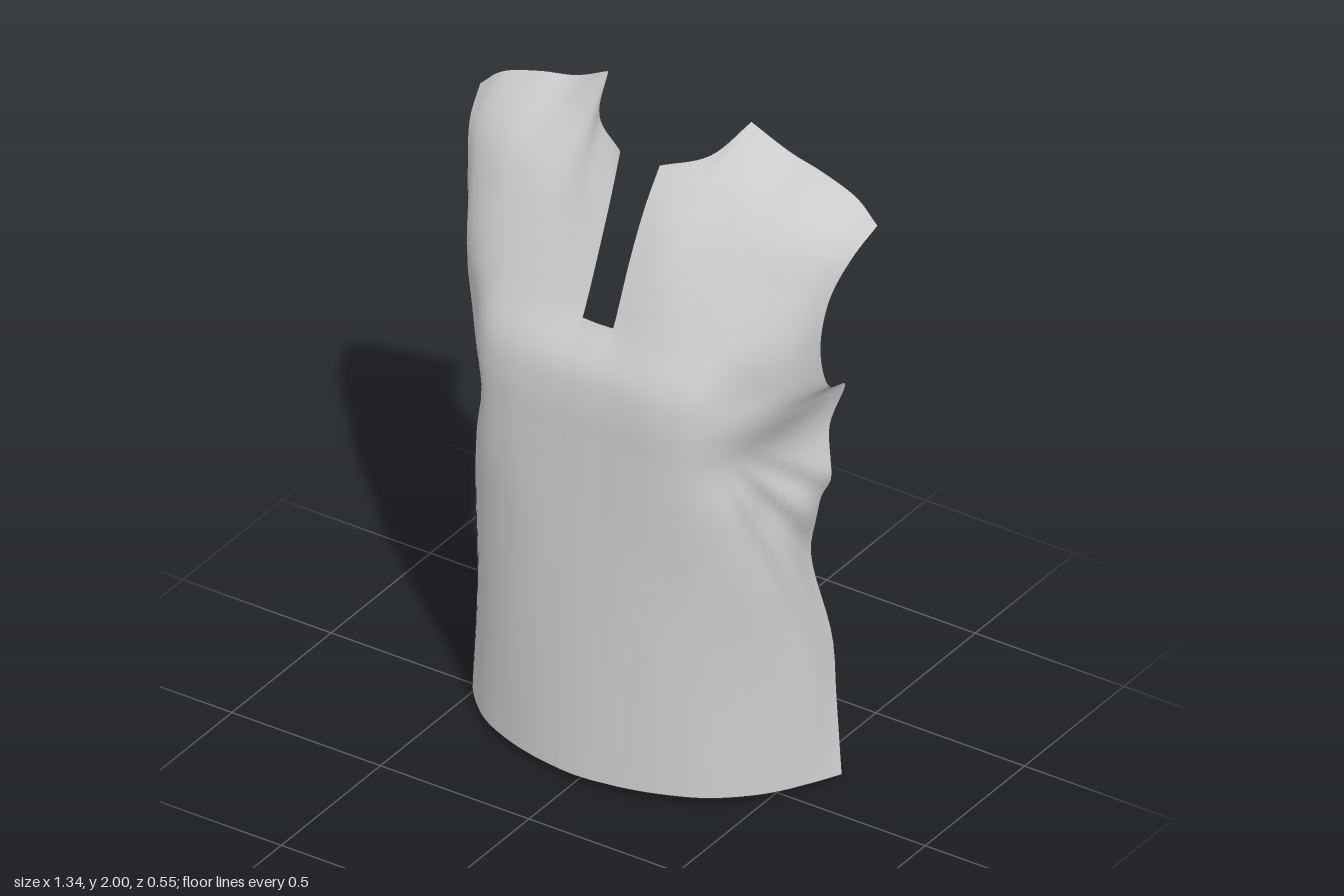
import * as THREE from 'three';

const SUB = 8;   // steps between neighbouring guide rows
const COLS = 48; // steps from the centre slit to the side edge
const NECK = 2;  // guide point where the neckline meets the shoulder

// Guide rows of the left half, hem to shoulder: seven points from slit to side edge.
const lowerRows = [
  [[.05, .03, .27], [.15, .03, .254], [.26, .03, .222], [.38, .027, .16], [.495, .022, .045], [.565, .016, -.08], [.6, .005, -.18]],
  [[.05, .4, .262], [.15, .4, .251], [.26, .4, .222], [.38, .4, .155], [.495, .4, .02], [.54, .4, -.1], [.535, .4, -.225]],
  [[.05, .75, .254], [.15, .75, .248], [.25, .75, .228], [.37, .75, .175], [.46, .75, .08], [.49, .75, -.06], [.475, .75, -.212]],
  [[.05, .95, .249], [.15, .95, .247], [.25, .95, .235], [.36, .95, .195], [.435, .95, .11], [.46, .95, -.04], [.545, .95, -.205]],
  [[.05, 1.12, .246], [.15, 1.12, .245], [.25, 1.12, .237], [.345, 1.12, .207], [.405, 1.12, .135], [.455, 1.12, -.01], [.532, 1.12, -.222]],
  [[.05, 1.25, .242], [.15, 1.25, .242], [.25, 1.25, .237], [.35, 1.25, .207], [.425, 1.25, .135], [.51, 1.25, -.005], [.565, 1.25, -.25]],
];
const yokeRows = [
  [[.05, 1.35, .222], [.15, 1.35, .225], [.25, 1.35, .22], [.36, 1.35, .188], [.45, 1.34, .1], [.535, 1.33, 0], [.582, 1.31, -.14]],
  [[.05, 1.467, .152], [.15, 1.47, .16], [.25, 1.47, .16], [.36, 1.47, .135], [.46, 1.47, .08], [.545, 1.47, 0], [.592, 1.47, -.085]],
  [[.05, 1.65, .068], [.14, 1.65, .07], [.24, 1.65, .06], [.36, 1.65, .033], [.47, 1.65, -.007], [.56, 1.64, -.055], [.612, 1.63, -.105]],
  [[.055, 1.79, 0], [.145, 1.79, -.01], [.24, 1.82, -.07], [.36, 1.81, -.085], [.48, 1.795, -.1], [.59, 1.77, -.135], [.647, 1.745, -.168]],
  [[.065, 1.9, -.06], [.185, 1.935, -.135], [.24, 2, -.262], [.36, 1.937, -.275], [.48, 1.913, -.267], [.6, 1.872, -.26], [.67, 1.81, -.255]],
];
const SLIT_ROW = (lowerRows.length + 1) * SUB;

const spline = pts => new THREE.CatmullRomCurve3(pts);

// The top row keeps a sharp corner at the neck point
function sampleRow(pts, u, cornered) {
  if (!cornered) return spline(pts).getPoint(u);
  const last = pts.length - 1, t = u * last;
  return t <= NECK
    ? spline(pts.slice(0, NECK + 1)).getPoint(t / NECK)
    : spline(pts.slice(NECK)).getPoint((t - NECK) / (last - NECK));
}

// Long drape folds running from the bust down and back to the side edge
function addFolds(p) {
  const dy = 1.25 - p.y, dz = .2 - p.z;
  if (dy <= 0 || dz <= 0) return p;
  const angle = Math.atan2(dy, dz), dist = Math.hypot(dy, dz);
  const strength = .016 * THREE.MathUtils.smoothstep(dist, .1, .45)
    * THREE.MathUtils.smoothstep(angle, .5, .8)
    * (1 - THREE.MathUtils.smoothstep(angle, 1.15, 1.4))
    * THREE.MathUtils.smoothstep(p.y, .1, .5);
  const d = strength * Math.sin(angle * 24);
  p.x += d * .85;
  p.z += d * .5;
  return p;
}

function frontPanel() {
  const guides = [...lowerRows, ...yokeRows].map(r => r.map(p => new THREE.Vector3(...p)));
  const top = guides.length - 1, rows = top * SUB;

  // Columns of the left half; the first one is the centre line
  const columns = [];
  for (let i = 0; i <= COLS; i++) {
    const rise = spline(guides.map((g, k) => sampleRow(g, i / COLS, k === top)));
    columns.push(Array.from({ length: rows + 1 }, (_, j) => addFolds(rise.getPoint(j / rows))));
  }
  columns.unshift(columns[0].map(p => new THREE.Vector3(0, p.y, p.z + .003)));

  // Mirror both halves into one sheet
  const half = columns.length - 1, positions = [], index = [];
  for (let i = -half; i <= half; i++)
    for (const p of columns[Math.abs(i)]) positions.push(Math.sign(i) * p.x, p.y, p.z);
  const id = (i, j) => (i + half) * (rows + 1) + j;
  for (let i = -half; i < half; i++)
    for (let j = 0; j < rows; j++) {
      // Neck slit stays open
      if (j >= SLIT_ROW && (i === -1 || i === 0)) continue;
      const a = id(i, j), b = id(i + 1, j), c = id(i + 1, j + 1), d = id(i, j + 1);
      index.push(a, b, c, a, c, d);
    }

  const geometry = new THREE.BufferGeometry();
  geometry.setAttribute('position', new THREE.Float32BufferAttribute(positions, 3));
  geometry.setIndex(index);
  geometry.computeVertexNormals();
  return geometry;
}

export function createModel() {
  const group = new THREE.Group();
  group.name = 'blouseFront';
  const cloth = new THREE.MeshStandardMaterial({ color: 0xcccccc, side: THREE.DoubleSide });
  const panel = new THREE.Mesh(frontPanel(), cloth);
  panel.name = 'frontPanel';
  group.add(panel);
  return group;
}
